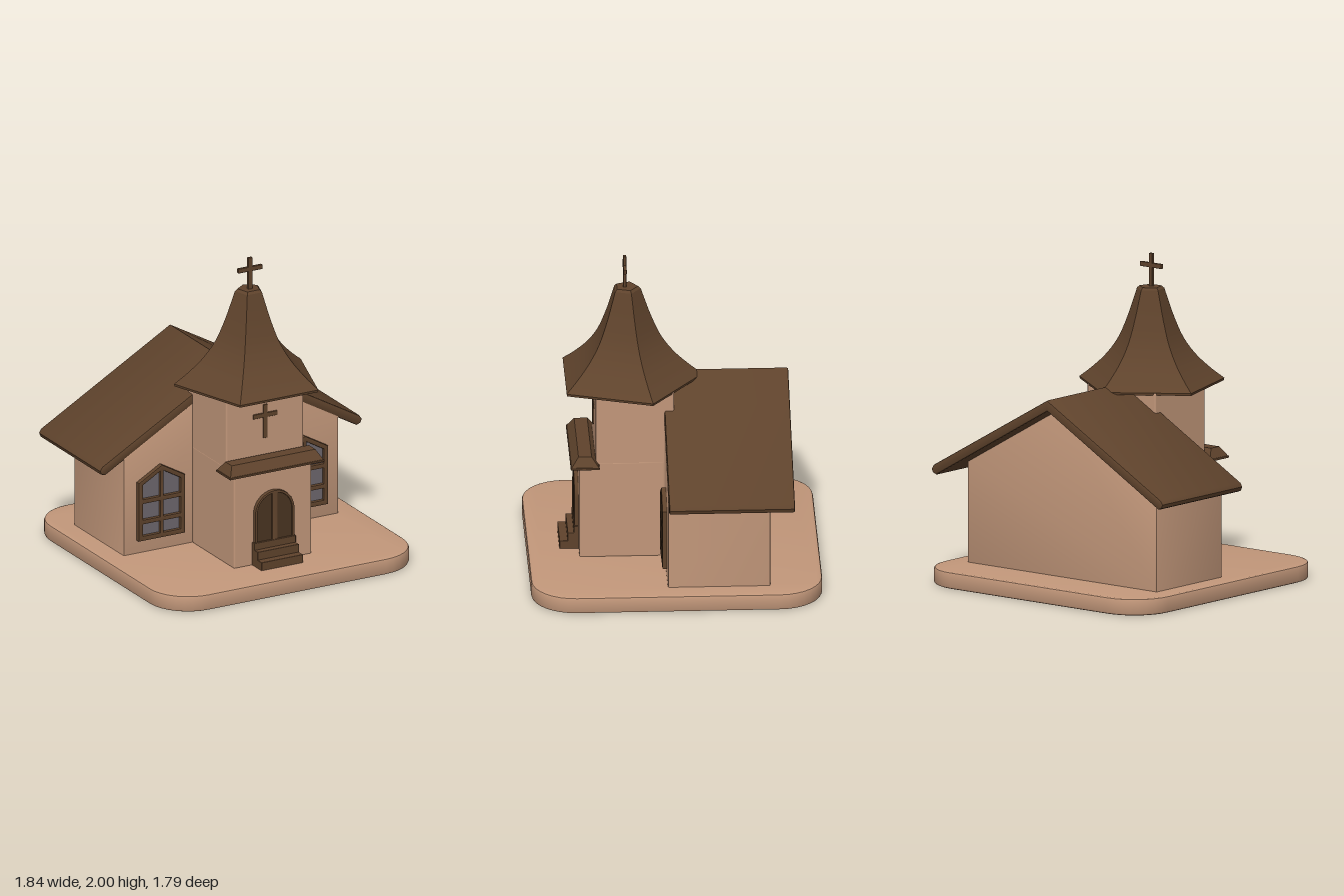
import * as THREE from 'three';
import { toCreasedNormals } from 'three/addons/utils/BufferGeometryUtils.js';
import { RoundedBoxGeometry } from 'three/addons/geometries/RoundedBoxGeometry.js';

const tan = new THREE.MeshStandardMaterial({ color: 0xc2977a });
const brown = new THREE.MeshStandardMaterial({ color: 0x5f432c });
const dark = new THREE.MeshStandardMaterial({ color: 0x4a3421 });
const glass = new THREE.MeshStandardMaterial({ color: 0x6c666c });

function add(parent, name, geometry, material, x = 0, y = 0, z = 0) {
  const mesh = new THREE.Mesh(geometry, material);
  mesh.name = name;
  mesh.position.set(x, y, z);
  parent.add(mesh);
  return mesh;
}

const poly = (pts) => new THREE.Shape(pts.map(([x, y]) => new THREE.Vector2(x, y)));

// Extrusion from z0 to z1 with softened edges that stay inside the outline
function slab(shape, z0, z1, bevel = 0.01, curveSegments = 8) {
  const g = new THREE.ExtrudeGeometry(shape, {
    depth: z1 - z0 - 2 * bevel, curveSegments,
    bevelEnabled: bevel > 0, bevelThickness: bevel, bevelSize: bevel,
    bevelOffset: -bevel, bevelSegments: 2,
  });
  g.translate(0, 0, z0 + bevel);
  return toCreasedNormals(g, 0.6);
}

// Softened box given by its limits
function block(parent, name, [x0, x1], [y0, y1], [z0, z1], material, r = 0.006) {
  const g = new RoundedBoxGeometry(x1 - x0, y1 - y0, z1 - z0, 2, r);
  return add(parent, name, g, material, (x0 + x1) / 2, (y0 + y1) / 2, (z0 + z1) / 2);
}

function roundedSquare(h, r) {
  const s = new THREE.Shape();
  const c = h - r;
  s.absarc(c, c, r, 0, Math.PI / 2);
  s.absarc(-c, c, r, Math.PI / 2, Math.PI);
  s.absarc(-c, -c, r, Math.PI, Math.PI * 1.5);
  s.absarc(c, -c, r, Math.PI * 1.5, Math.PI * 2);
  return s;
}

function cross(parent, name, y0, y1, barY, z, depth) {
  const g = new THREE.Group();
  g.name = name;
  parent.add(g);
  block(g, 'crossUpright', [-0.015, 0.015], [y0, y1], [z - depth / 2, z + depth / 2], brown, 0.004);
  block(g, 'crossBar', [-0.085, 0.085], [barY - 0.015, barY + 0.015], [z - depth / 2, z + depth / 2], brown, 0.004);
}

// Pointed six-pane window, centred on its own x = 0
function makeWindow(name) {
  const g = new THREE.Group();
  g.name = name;
  const frame = poly([[-0.163, 0.19], [0.163, 0.19], [0.163, 0.572], [0, 0.665], [-0.163, 0.572]]);
  for (const s of [-1, 1]) {
    const a = s * 0.012, b = s * 0.132;
    frame.holes.push(poly([[a, 0.222], [b, 0.222], [b, 0.298], [a, 0.298]]));
    frame.holes.push(poly([[a, 0.328], [b, 0.328], [b, 0.432], [a, 0.432]]));
    frame.holes.push(poly([[a, 0.462], [b, 0.462], [b, 0.556], [a, 0.625]]));
  }
  add(g, 'windowFrame', slab(frame, 0.05, 0.09, 0.006), brown);
  add(g, 'windowGlass', slab(poly([[-0.14, 0.21], [0.14, 0.21], [0.14, 0.56], [0, 0.64], [-0.14, 0.56]]), 0.052, 0.068, 0), glass);
  return g;
}

// Arched outline: half width w, from y0 up to the spring line, round top
function arch(w, y0, spring) {
  const s = new THREE.Shape();
  s.moveTo(-w, y0);
  s.lineTo(w, y0);
  s.absarc(0, spring, w, 0, Math.PI);
  s.closePath();
  return s;
}

// One door leaf: quarter-arched panel beside the middle post
function leaf(side) {
  const r = 0.122, gap = 0.018, spring = 0.437;
  const pts = [[gap, 0.25], [r, 0.25]];
  const end = Math.acos(gap / r);
  for (let i = 0; i <= 8; i++) {
    const a = (end * i) / 8;
    pts.push([r * Math.cos(a), spring + r * Math.sin(a)]);
  }
  return poly(pts.map(([x, y]) => [side * x, y]));
}

export function createModel() {
  const model = new THREE.Group();
  model.name = 'chapel';

  // Ground slab
  const base = slab(roundedSquare(0.893, 0.27), 0, 0.105, 0.015, 4);
  base.rotateX(-Math.PI / 2);
  add(model, 'base', base, tan);

  // Hall with gable ends
  add(model, 'hall', slab(poly([[-0.755, 0.1], [0.755, 0.1], [0.755, 0.742], [0, 1.17], [-0.755, 0.742]]), -0.57, 0.06, 0.012), tan);

  // Gable roof
  const half = [[0.905, 0.715], [0.922, 0.69], [0.912, 0.665], [0.885, 0.655]];
  const roof = poly([
    [0, 1.16], ...half.slice().reverse(), [0, 1.228],
    ...half.map(([x, y]) => [-x, y]),
  ]);
  add(model, 'hallRoof', slab(roof, -0.713, 0.058, 0.01), brown);

  // Tower: tall shaft and a deeper porch below
  block(model, 'towerShaft', [-0.272, 0.272], [0.1, 1.2], [0.0, 0.48], tan, 0.01);
  block(model, 'towerPorch', [-0.273, 0.273], [0.1, 0.735], [0.06, 0.58], tan, 0.01);

  // Canopy over the door: box narrowed towards the top
  const canopy = new THREE.BoxGeometry(0.66, 0.065, 0.175);
  const p = canopy.attributes.position;
  for (let i = 0; i < p.count; i++) {
    if (p.getY(i) > 0) p.setXYZ(i, p.getX(i) * 0.89, p.getY(i), p.getZ(i) * 0.46);
  }
  add(model, 'canopy', toCreasedNormals(canopy, 0.3), brown, 0, 0.752, 0.547);
  block(model, 'canopyEdge', [-0.333, 0.333], [0.711, 0.725], [0.458, 0.636], brown, 0.004);

  // Five-sided flared spire
  const curve = new THREE.SplineCurve([
    [0.468, 1.2], [0.385, 1.265], [0.29, 1.355], [0.21, 1.465],
    [0.15, 1.6], [0.108, 1.72], [0.088, 1.78],
  ].map(([r, y]) => new THREE.Vector2(r, y)));
  const profile = [
    new THREE.Vector2(0, 1.185), new THREE.Vector2(0.465, 1.185),
    ...curve.getPoints(20),
    new THREE.Vector2(0.072, 1.795), new THREE.Vector2(0, 1.795),
  ];
  const spire = new THREE.LatheGeometry(profile, 5, Math.PI, Math.PI * 2);
  add(model, 'spire', toCreasedNormals(spire, 0.4), brown, 0, 0, 0.28);

  // Crosses
  cross(model, 'spireCross', 1.78, 2.0, 1.925, 0.291, 0.02);
  cross(model, 'wallCross', 0.88, 1.1, 1.03, 0.48, 0.016);

  // Windows on both sides of the tower
  for (const [name, x] of [['leftWindow', 0.503], ['rightWindow', -0.503]]) {
    const w = makeWindow(name);
    w.position.x = x;
    model.add(w);
  }

  // Arched double door
  const door = new THREE.Group();
  door.name = 'door';
  model.add(door);
  const doorFrame = arch(0.138, 0.1, 0.437);
  doorFrame.holes.push(leaf(-1), leaf(1));
  add(door, 'doorFrame', slab(doorFrame, 0.57, 0.606, 0.004, 12), brown);
  for (const s of [-1, 1]) add(door, s > 0 ? 'leftLeaf' : 'rightLeaf', slab(leaf(s), 0.57, 0.596, 0), dark);

  // Steps
  [[0.1, 0.158, 0.697], [0.15, 0.21, 0.647], [0.2, 0.255, 0.609]].forEach(([y0, y1, z1], i) =>
    block(model, 'step' + (i + 1), [-0.146, 0.146], [y0, y1], [0.57, z1], brown, 0.004));

  return model;
}
